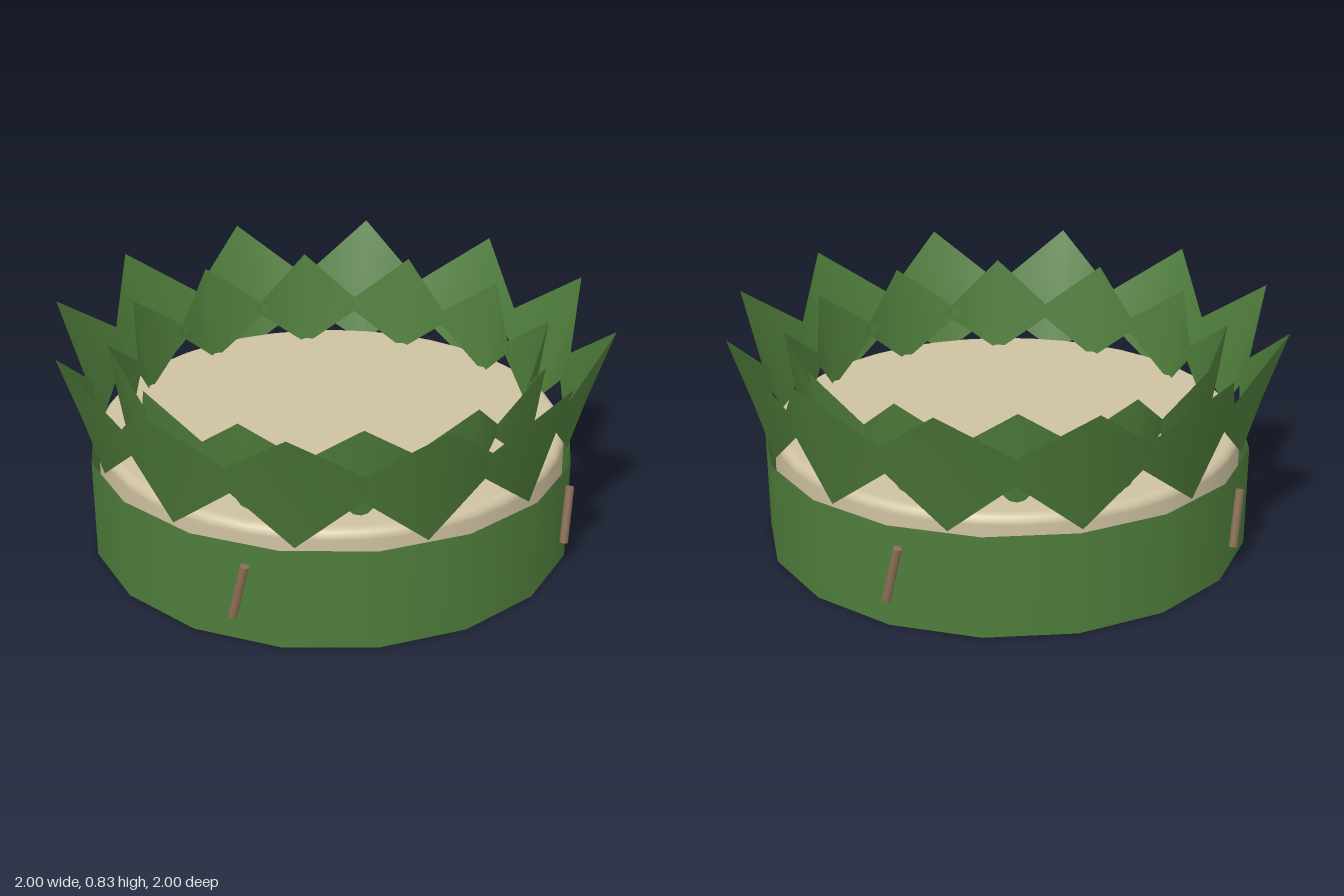
import * as THREE from 'three';

const leafGreen = new THREE.MeshStandardMaterial({ color: 0x4f7d3b, side: THREE.DoubleSide });
leafGreen.name = 'leafGreen';
const cakeBeige = new THREE.MeshStandardMaterial({ color: 0xcfc2a2 });
cakeBeige.name = 'cakeBeige';
const pickBrown = new THREE.MeshStandardMaterial({ color: 0x8a6f55 });
pickBrown.name = 'pickBrown';

// Folded diamond leaf facing +z: base and tip lie on the ridge, the corners fold inwards.
// base, mid, tip are [y, z]; corner is [x, y, z].
function leafGeometry(base, mid, tip, corner) {
  const [cx, cy, cz] = corner;
  const g = new THREE.BufferGeometry();
  g.setAttribute('position', new THREE.Float32BufferAttribute([
    0, ...base, cx, cy, cz, 0, ...tip, -cx, cy, cz, 0, ...mid,
  ], 3));
  g.setIndex([0, 1, 4, 1, 2, 4, 2, 3, 4, 3, 0, 4]);
  g.computeVertexNormals();
  return g;
}

// Ring of equal leaves around the y axis
function leafRing(name, geometry, count, start) {
  const ring = new THREE.Group();
  ring.name = name;
  for (let i = 0; i < count; i++) {
    const leaf = new THREE.Mesh(geometry, leafGreen);
    leaf.name = name + 'Leaf';
    leaf.rotation.y = start + (i / count) * Math.PI * 2;
    ring.add(leaf);
  }
  return ring;
}

export function createModel() {
  const model = new THREE.Group();
  model.name = 'leafWrappedCake';

  // Round cake with softened rims
  const r = 0.84, b = 0.035, y0 = 0.01, y1 = 0.43;
  const profile = [new THREE.Vector2(0, y0)];
  for (let i = 0; i <= 4; i++) {
    const a = (i / 4) * Math.PI / 2;
    profile.push(new THREE.Vector2(r - b + b * Math.sin(a), y0 + b - b * Math.cos(a)));
  }
  for (let i = 0; i <= 4; i++) {
    const a = (i / 4) * Math.PI / 2;
    profile.push(new THREE.Vector2(r - b + b * Math.cos(a), y1 - b + b * Math.sin(a)));
  }
  profile.push(new THREE.Vector2(0, y1));
  const cake = new THREE.Mesh(new THREE.LatheGeometry(profile, 40), cakeBeige);
  cake.name = 'cake';
  model.add(cake);

  // Leaf band wrapped around the side
  const band = new THREE.Mesh(
    new THREE.CylinderGeometry(0.878, 0.874, 0.37, 17, 1, true), leafGreen);
  band.name = 'leafBand';
  band.position.y = 0.185;
  model.add(band);

  // Outer crown of large leaves, inner crown of smaller ones set between them
  const outer = leafGeometry([0.37, 0.852], [0.58, 0.915], [0.83, 1.0], [0.29, 0.59, 0.80]);
  const inner = leafGeometry([0.41, 0.735], [0.59, 0.765], [0.765, 0.79], [0.215, 0.59, 0.665]);
  model.add(leafRing('outerCrown', outer, 12, -0.012));
  model.add(leafRing('innerCrown', inner, 12, Math.PI / 12));

  // Four slanted wooden picks pinning the band
  const pickGeometry = new THREE.CylinderGeometry(0.016, 0.016, 0.205, 8);
  for (let i = 0; i < 4; i++) {
    const pivot = new THREE.Group();
    pivot.name = 'pickHolder';
    pivot.rotation.y = 0.3 + i * Math.PI / 2;
    const pick = new THREE.Mesh(pickGeometry, pickBrown);
    pick.name = 'woodenPick';
    pick.position.set(0, 0.2, 0.886);
    pick.rotation.z = -0.23;
    pivot.add(pick);
    model.add(pivot);
  }
  return model;
}
